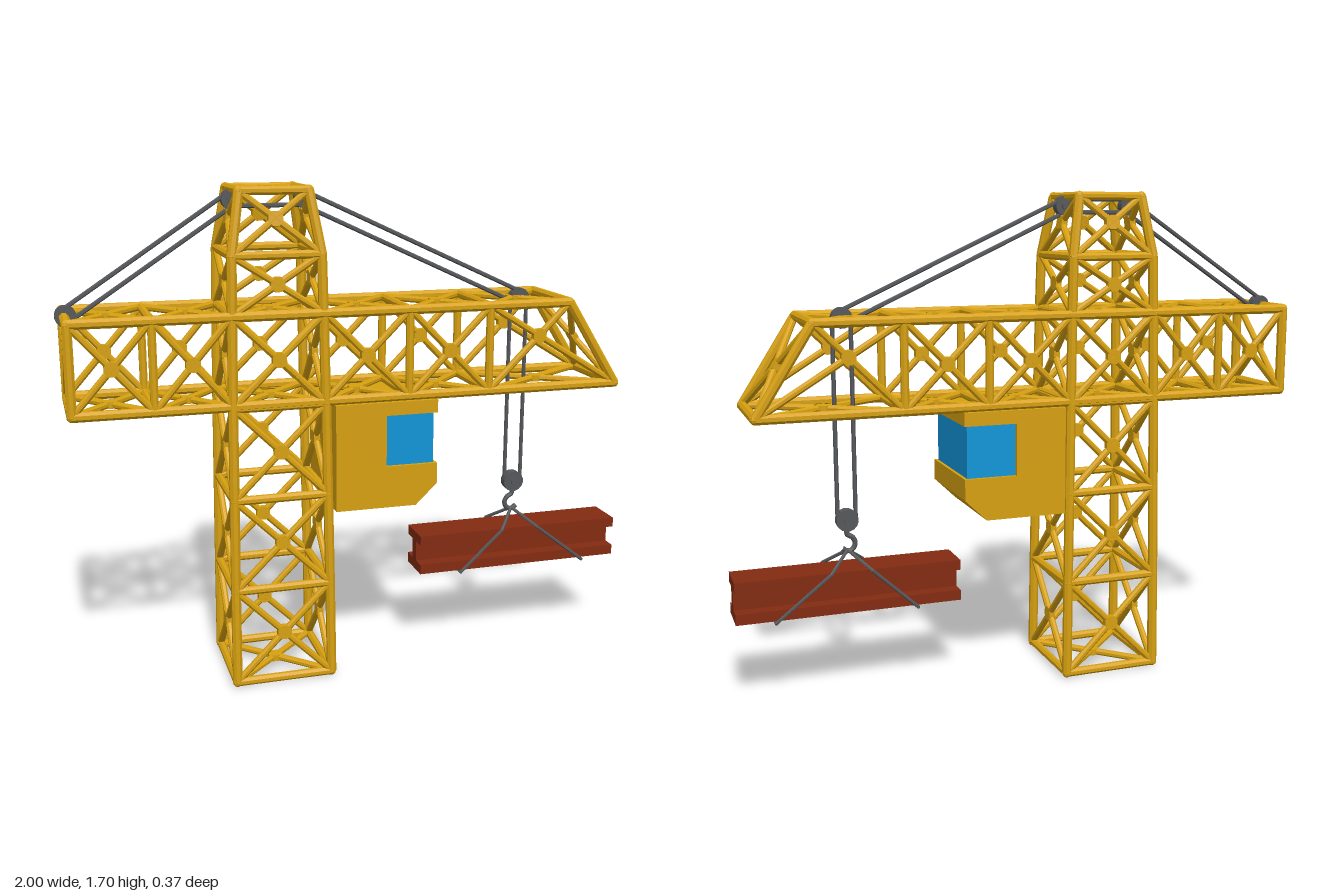
import * as THREE from 'three';
import { mergeGeometries } from 'three/addons/utils/BufferGeometryUtils.js';

const V = (x, y, z) => new THREE.Vector3(x, y, z);
const UP = V(0, 1, 0);
const mat = (name, color) => {
  const m = new THREE.MeshStandardMaterial({ color, flatShading: true });
  m.name = name;
  return m;
};

// straight round bar between two points
function bar(a, b, r, sides = 8) {
  const d = b.clone().sub(a);
  const g = new THREE.CylinderGeometry(r, r, d.length(), sides);
  g.rotateY(Math.PI / sides);
  g.applyQuaternion(new THREE.Quaternion().setFromUnitVectors(UP, d.normalize()));
  const m = a.clone().add(b).multiplyScalar(0.5);
  return g.translate(m.x, m.y, m.z);
}
const joint = (p, r) => new THREE.SphereGeometry(r, 8, 6).translate(p.x, p.y, p.z);

// crossed braces over a quad a-b-c-d, with a small gusset at the crossing
function cross(list, a, b, c, d, r = 0.012) {
  list.push(bar(a, c, r), bar(b, d, r));
  const ac = c.clone().sub(a), bd = d.clone().sub(b);
  const n = ac.clone().cross(bd);
  const t = b.clone().sub(a).cross(bd).dot(n) / n.lengthSq();
  const m = a.clone().addScaledVector(ac, t);
  n.normalize().multiplyScalar(0.011);
  list.push(bar(m.clone().sub(n), m.clone().add(n), 0.026));
}

export function createModel() {
  const root = new THREE.Group();
  root.name = 'towerCrane';
  const yellow = mat('yellowPaint', 0xd6a010);
  const metal = mat('greyMetal', 0x55575a);
  const blue = mat('blueGlass', 0x1095d8);
  const rust = mat('redSteel', 0x822b10);
  const add = (name, geo, material) => {
    const m = new THREE.Mesh(geo, material);
    m.name = name;
    root.add(m);
    return m;
  };
  const R = 0.017;

  // tower: square rings joined by legs and crossed braces
  const TX = -0.3;
  const levels = [[0.017, 0.168], [0.35, 0.165], [0.67, 0.161], [0.985, 0.157],
    [1.29, 0.152], [1.48, 0.148], [1.682, 0.115]];
  const rings = levels.map(([y, h]) =>
    [[-1, 1], [1, 1], [1, -1], [-1, -1]].map(([sx, sz]) => V(TX + sx * h, y, sz * h)));
  const tower = [];
  rings.forEach((ring, i) => {
    for (let k = 0; k < 4; k++) {
      const n = (k + 1) % 4, up = rings[i + 1];
      tower.push(bar(ring[k], ring[n], 0.015), joint(ring[k], R));
      if (up) {
        tower.push(bar(ring[k], up[k], R));
        cross(tower, ring[k], ring[n], up[n], up[k]);
      }
    }
  });
  cross(tower, ...rings[0]);
  cross(tower, ...rings[rings.length - 1]);
  add('tower', mergeGeometries(tower), yellow);

  // jib: stations of [bottom x, top x], the last one sloping forward
  const stations = [[-0.97, -0.97], [-0.71, -0.71], [-0.455, -0.455], [-0.145, -0.145],
    [0.15, 0.15], [0.44, 0.44], [0.922, 0.735]];
  const Y0 = 0.992, Y1 = 1.287, HZ = 0.156;
  const frames = stations.map(([b, t]) =>
    [V(b, Y0, HZ), V(t, Y1, HZ), V(t, Y1, -HZ), V(b, Y0, -HZ)]);
  const jib = [];
  frames.forEach((f, i) => {
    const next = frames[i + 1];
    const end = i === 0 || !next;
    for (let k = 0; k < 4; k++) {
      const n = (k + 1) % 4;
      jib.push(bar(f[k], f[n], end ? R : 0.014), joint(f[k], R));
      if (next) {
        jib.push(bar(f[k], next[k], R));
        cross(jib, f[k], f[n], next[n], next[k]);
      }
    }
    if (end) cross(jib, ...f);
  });
  add('jib', mergeGeometries(jib), yellow);

  // operator cab
  const slab = (x0, x1, y0, y1, hz) =>
    new THREE.BoxGeometry(x1 - x0, y1 - y0, 2 * hz).translate((x0 + x1) / 2, (y0 + y1) / 2, 0);
  const extrude = (pts, depth) => new THREE.ExtrudeGeometry(
    new THREE.Shape(pts.map(p => new THREE.Vector2(...p))), { depth, bevelEnabled: false })
    .translate(0, 0, -depth / 2);
  const CZ = 0.181;
  add('cabBody', extrude([[-0.115, 0.607], [0.17, 0.607], [0.246, 0.68], [0.246, 0.753],
    [0.063, 0.753], [0.063, 0.932], [0.246, 0.932], [0.246, 0.978], [-0.115, 0.978]], 2 * CZ), yellow);
  add('cabWindows', slab(0.06, 0.235, 0.75, 0.935, 0.168), blue);

  // pulleys
  const pulleys = [[-0.965, 1.29, 0.035], [-0.42, 1.65, 0.033], [-0.175, 1.65, 0.033],
    [0.61, 1.288, 0.035], [0.61, 0.605, 0.038]];
  const wheels = [];
  for (const [x, y, r] of pulleys) {
    wheels.push(bar(V(x, y, -0.016), V(x, y, 0.016), r, 16));
    wheels.push(bar(V(x, y, -0.024), V(x, y, 0.024), 0.012, 8));
  }
  add('pulleys', mergeGeometries(wheels), metal);

  // twin cables running from pulley to pulley
  const cables = [];
  for (let i = 0; i < pulleys.length - 1; i++) {
    const a = V(pulleys[i][0], pulleys[i][1], 0), b = V(pulleys[i + 1][0], pulleys[i + 1][1], 0);
    const d = b.clone().sub(a).normalize();
    const off = V(-d.y, d.x, 0).multiplyScalar(i === 3 ? 0.031 : 0.022);
    for (const s of [-1, 1]) {
      const o = off.clone().multiplyScalar(s);
      cables.push(bar(a.clone().add(o), b.clone().add(o), 0.0075, 6));
    }
  }
  add('cables', mergeGeometries(cables), metal);

  // hook
  const hookPath = new THREE.CatmullRomCurve3([V(0.61, 0.58, 0), V(0.61, 0.555, 0), V(0.592, 0.543, 0),
    V(0.583, 0.522, 0), V(0.592, 0.502, 0), V(0.61, 0.496, 0), V(0.628, 0.508, 0)]);
  add('hook', new THREE.TubeGeometry(hookPath, 20, 0.009, 8), metal);

  // slings from the hook around the load
  const slings = [];
  for (const [xm, xe] of [[0.543, 0.385], [0.682, 0.87]]) {
    for (const s of [-1, 1]) {
      const pts = [V(0.61, 0.5, 0), V(xm, 0.442, s * 0.078), V(xe, 0.295, s * 0.078), V(xe, 0.295, 0)];
      for (let i = 0; i < 3; i++) slings.push(bar(pts[i], pts[i + 1], 0.006, 6), joint(pts[i + 1], 0.006));
    }
  }
  add('slings', mergeGeometries(slings), metal);

  // I-beam load
  const half = [[0.07, 0.3], [0.07, 0.336], [0.021, 0.336], [0.021, 0.409], [0.07, 0.409], [0.07, 0.444]];
  const profile = [...half, ...half.map(([x, y]) => [-x, y]).reverse()];
  const beam = extrude(profile, 0.77);
  beam.rotateY(Math.PI / 2).translate(0.615, 0, 0);
  add('steelBeam', beam, rust);

  return root;
}
